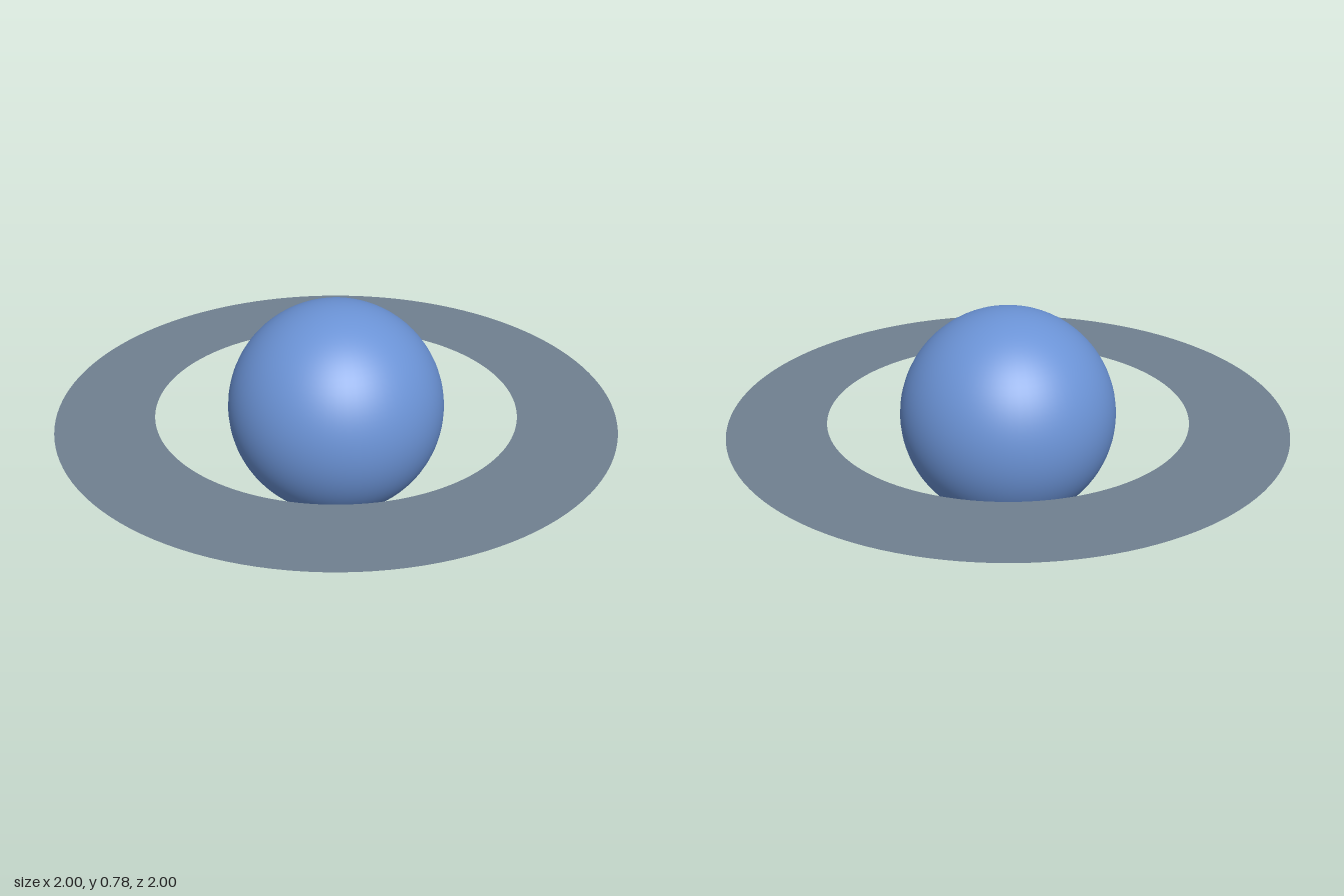
import * as THREE from 'three';

const RADIUS = 0.39;
const RING_INNER = 0.65;
const RING_OUTER = 1;

export function createModel() {
  const model = new THREE.Group();
  model.name = 'ringedPlanet';

  const planetBlue = new THREE.MeshStandardMaterial({ color: 0x6b93d6 });
  planetBlue.name = 'planetBlue';
  const ringGrey = new THREE.MeshStandardMaterial({ color: 0x708090, side: THREE.DoubleSide });
  ringGrey.name = 'ringGrey';

  // Smooth globe resting on the ground plane
  const planet = new THREE.Mesh(new THREE.SphereGeometry(RADIUS, 64, 48), planetBlue);
  planet.name = 'planet';
  planet.position.y = RADIUS;
  model.add(planet);

  // Flat, level ring around the equator
  const ring = new THREE.Mesh(new THREE.RingGeometry(RING_INNER, RING_OUTER, 128), ringGrey);
  ring.name = 'ring';
  ring.rotation.x = -Math.PI / 2;
  ring.position.y = RADIUS;
  model.add(ring);

  return model;
}
